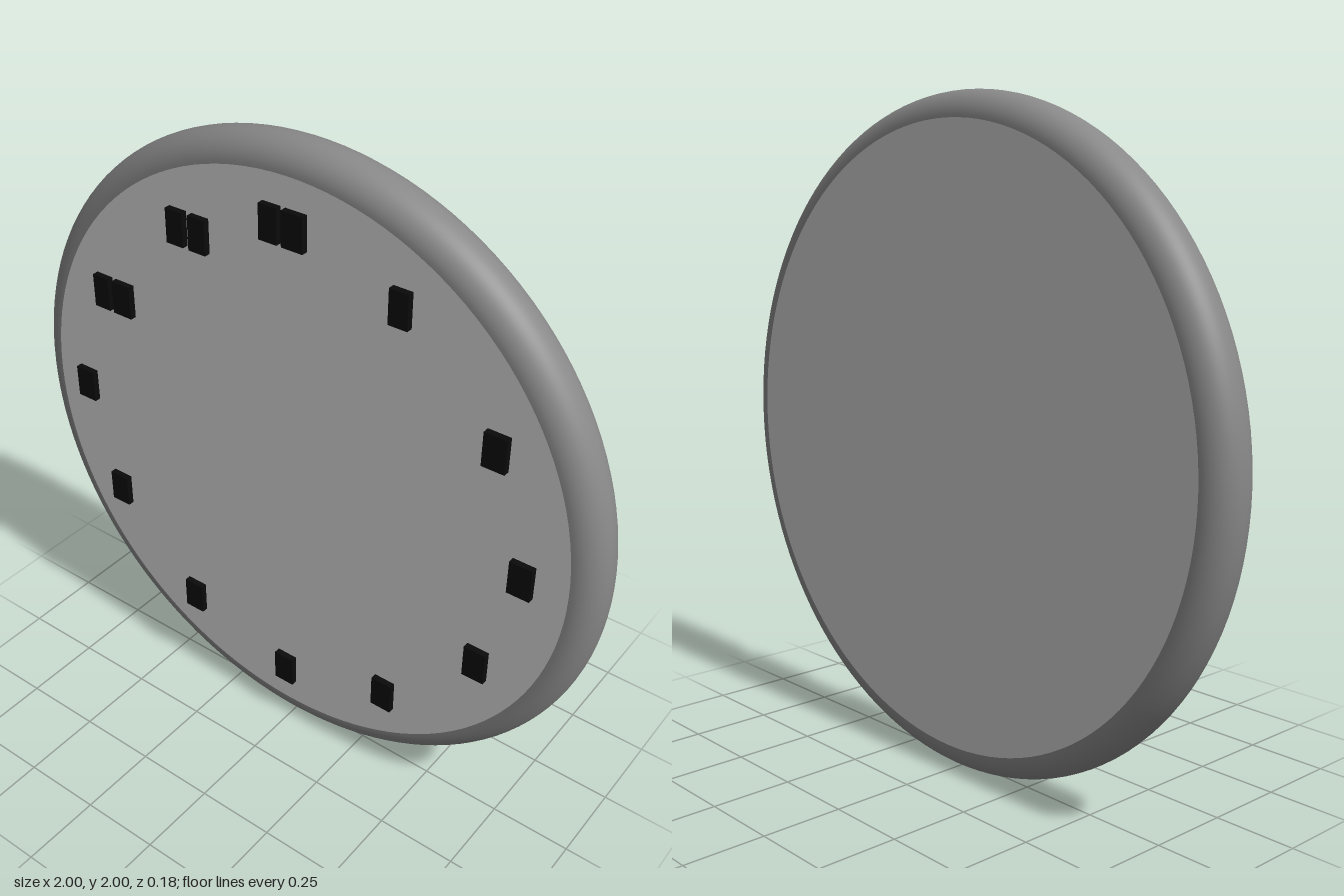
import * as THREE from 'three';

const FACE_RADIUS = 0.92, RIM = 0.08, BACK_Z = -0.09, FRONT_Z = 0.07;
const MARKER_HEIGHT = 0.105, MARKER_TOP = 0.09;

export function createModel() {
  const clock = new THREE.Group();
  clock.name = 'wallClock';
  const faceMaterial = new THREE.MeshStandardMaterial({ color: 0xcccccc });
  const rimMaterial = new THREE.MeshStandardMaterial({ color: 0x888888 });
  const markerMaterial = new THREE.MeshStandardMaterial({ color: 0x0a0a0a });

  const add = (name, geometry, material, x, y, z, parent = clock) => {
    const mesh = new THREE.Mesh(geometry, material);
    mesh.name = name;
    mesh.position.set(x, y, z);
    parent.add(mesh);
    return mesh;
  };

  // Rounded rim: a half circle swept around the dial
  const profile = [];
  for (let i = 0; i <= 24; i++) {
    const a = -Math.PI / 2 + (i / 24) * Math.PI;
    profile.push(new THREE.Vector2(FACE_RADIUS + RIM * Math.cos(a), RIM * Math.sin(a)));
  }
  const rimGeometry = new THREE.LatheGeometry(profile, 128).rotateX(Math.PI / 2);
  add('rim', rimGeometry, rimMaterial, 0, 1, (BACK_Z + FRONT_Z) / 2);

  // Flat dial and back plate
  const disc = new THREE.CircleGeometry(FACE_RADIUS, 128);
  add('dial', disc, faceMaterial, 0, 1, FRONT_Z);
  add('backPlate', disc, faceMaterial, 0, 1, BACK_Z).rotation.y = Math.PI;

  // Plain raised hour markers: [x, y, bar widths]
  const WIDE = 0.07, SLIM = 0.06;
  const hours = [
    [0.37, 1.67, [SLIM]], [0.675, 1.365, [WIDE]], [0.785, 1, [WIDE]],
    [0.675, 0.635, [WIDE]], [0.37, 0.33, [WIDE]], [-0.005, 0.22, [WIDE]],
    [-0.38, 0.33, [WIDE]], [-0.685, 0.635, [WIDE]], [-0.795, 1, [WIDE]],
    [-0.645, 1.365, [SLIM, WIDE]], [-0.335, 1.67, [SLIM, SLIM]], [-0.005, 1.78, [SLIM, WIDE]],
  ];
  const markers = new THREE.Group();
  markers.name = 'hourMarkers';
  clock.add(markers);
  const depth = MARKER_TOP - FRONT_Z;
  for (const [x, y, widths] of hours) {
    widths.forEach((width, i) => {
      const offset = (i - (widths.length - 1) / 2) * 0.08;
      const bar = new THREE.BoxGeometry(width, MARKER_HEIGHT, depth);
      add('hourMarker', bar, markerMaterial, x + offset, y, FRONT_Z + depth / 2, markers);
    });
  }
  return clock;
}
